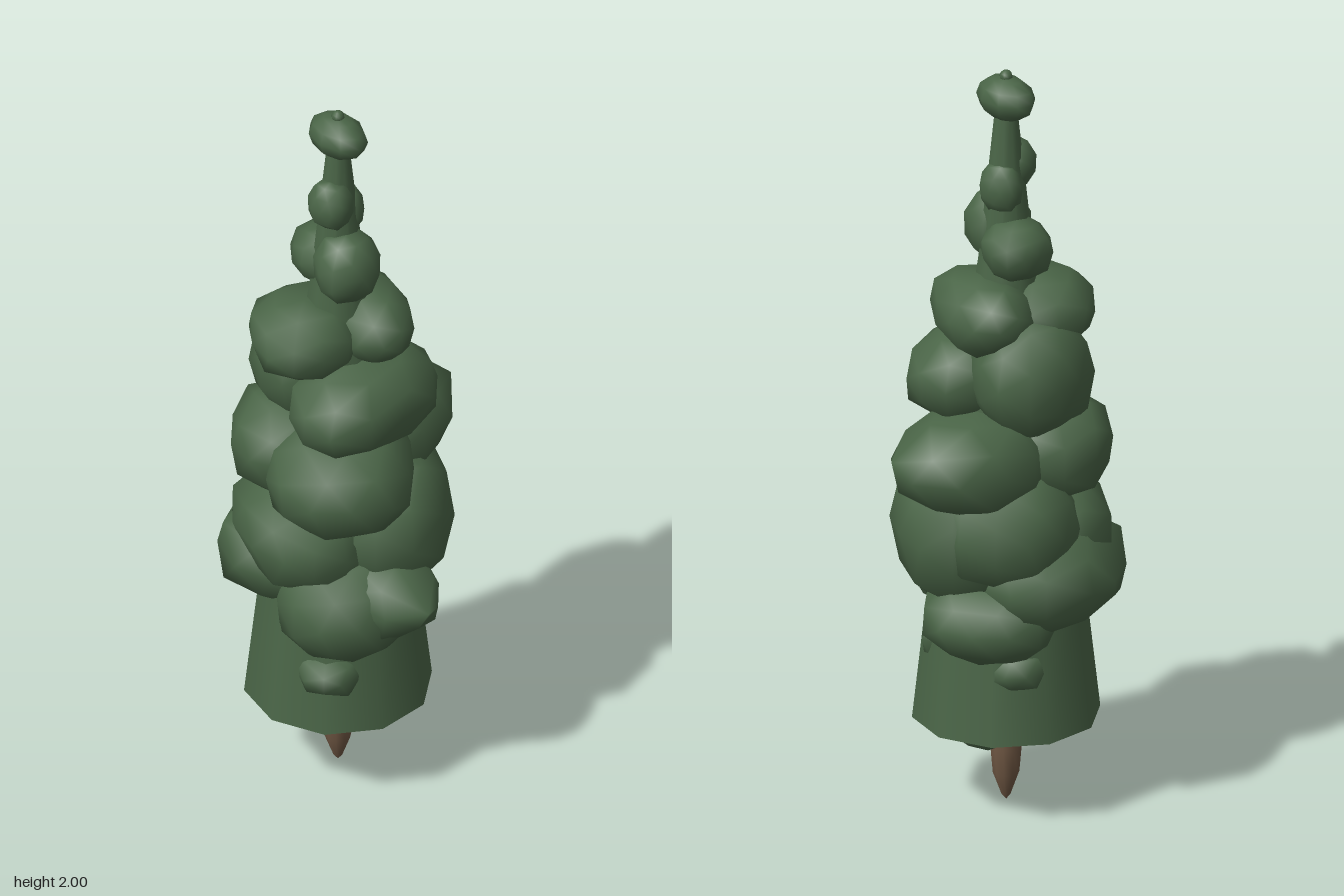
import * as THREE from 'three';
import { mergeVertices } from 'three/addons/utils/BufferGeometryUtils.js';

const AXIS_X = -0.04, AXIS_Z = -0.01;
const UP = new THREE.Vector3(0, 1, 0);

// small seeded generator for the irregular foliage
function makeRandom(seed) {
  return () => (seed = (seed * 16807) % 2147483647) / 2147483647;
}

// full, lumpy, slightly boxy ellipsoid growing outward along +x from the tree's axis;
// a peak draws its outer side to a blunt point at that distance
function clumpGeometry(rand, reach, halfWidth, halfHeight, peak) {
  let g = new THREE.IcosahedronGeometry(1, 1);
  g.deleteAttribute('normal');
  g.deleteAttribute('uv');
  g = mergeVertices(g, 1e-3);
  const p = g.attributes.position;
  const v = new THREE.Vector3();
  const spin = rand() * 1.2;
  let outermost = 0;
  for (let i = 0; i < p.count; i++) {
    v.fromBufferAttribute(p, i).applyAxisAngle(UP, spin);
    const boxy = (Math.abs(v.x) ** 2.6 + Math.abs(v.y) ** 2.6 + Math.abs(v.z) ** 2.6) ** (-1 / 2.6);
    v.multiplyScalar(boxy * (0.97 + rand() * 0.09));
    const pull = peak ? (peak - reach) * Math.max(0, v.x) ** 2 : 0;
    p.setXYZ(i, reach * (0.4 + 0.6 * v.x) + pull, halfHeight * v.y, halfWidth * v.z);
    if (p.getX(i) > p.getX(outermost)) outermost = i;
  }
  if (peak) p.setXYZ(outermost, peak, 0, 0);
  g.computeVertexNormals();
  return g;
}

// angle round the axis (0 = left, 90 = front), height, reach, half width, half height, peak
const CLUMPS = [
  // spire
  [150, 1.735, 0.085, 0.055, 0.065],
  [-35, 1.69, 0.07, 0.055, 0.065],
  [95, 1.56, 0.135, 0.08, 0.09],
  [-90, 1.535, 0.145, 0.085, 0.075],
  // upper ring
  [0, 1.355, 0.18, 0.16, 0.1],
  [188, 1.34, 0.225, 0.14, 0.1],
  [72, 1.165, 0.23, 0.21, 0.12],
  [-105, 1.2, 0.23, 0.15, 0.155],
  // middle ring
  [113, 0.965, 0.295, 0.185, 0.145],
  [-22, 0.98, 0.28, 0.175, 0.13, 0.365],
  [215, 0.99, 0.27, 0.15, 0.13],
  [20, 0.77, 0.285, 0.21, 0.195],
  [182, 0.76, 0.255, 0.2, 0.14],
  [-65, 0.8, 0.27, 0.18, 0.155],
  // lower ring
  [110, 0.585, 0.275, 0.175, 0.145],
  [75, 0.62, 0.26, 0.14, 0.12, 0.335],
  [-42, 0.555, 0.275, 0.17, 0.11],
  [-125, 0.66, 0.27, 0.21, 0.145, 0.31],
  // small clumps on and under the skirt
  [125, 0.4, 0.25, 0.095, 0.07],
  [10, 0.47, 0.22, 0.04, 0.09],
  [-70, 0.43, 0.23, 0.1, 0.07],
  [-10, 0.255, 0.16, 0.09, 0.08],
];

export function createModel() {
  const group = new THREE.Group();
  const green = new THREE.MeshStandardMaterial({ color: 0x4a6547 });
  const brown = new THREE.MeshStandardMaterial({ color: 0x6f5743 });
  green.name = 'foliage green';
  brown.name = 'bark brown';

  const add = (name, geometry, material, y = 0) => {
    const mesh = new THREE.Mesh(geometry, material);
    mesh.name = name;
    mesh.position.set(AXIS_X, y, AXIS_Z);
    group.add(mesh);
    return mesh;
  };

  // pointed trunk
  const trunk = [[0, 0.005], [0.012, 0.02], [0.034, 0.08], [0.04, 0.15], [0.041, 0.3]]
    .map(([r, y]) => new THREE.Vector2(r, y));
  add('trunk', new THREE.LatheGeometry(trunk, 10), brown);

  // tapering core that shows between the clumps
  add('foliageSkirt', new THREE.CylinderGeometry(0.2, 0.24, 0.355, 10), green, 0.4225);
  add('foliageCore', new THREE.CylinderGeometry(0.07, 0.2, 0.9, 10), green, 1.05);
  add('foliageSpire', new THREE.CylinderGeometry(0.028, 0.07, 0.4, 10), green, 1.7);

  // crown with a rounded bud on top
  const crown = add('crownClump', new THREE.SphereGeometry(1, 9, 6), green, 1.925);
  crown.scale.set(0.062, 0.058, 0.088);
  crown.rotation.y = 0.3;
  add('topBud', new THREE.SphereGeometry(0.017, 8, 6), green, 1.983);

  // foliage clumps
  const rand = makeRandom(7);
  CLUMPS.forEach(([angle, y, ...size], i) => {
    const mesh = add('foliageClump' + (i + 1), clumpGeometry(rand, ...size), green, y);
    mesh.rotation.y = -THREE.MathUtils.degToRad(angle);
  });

  return group;
}
